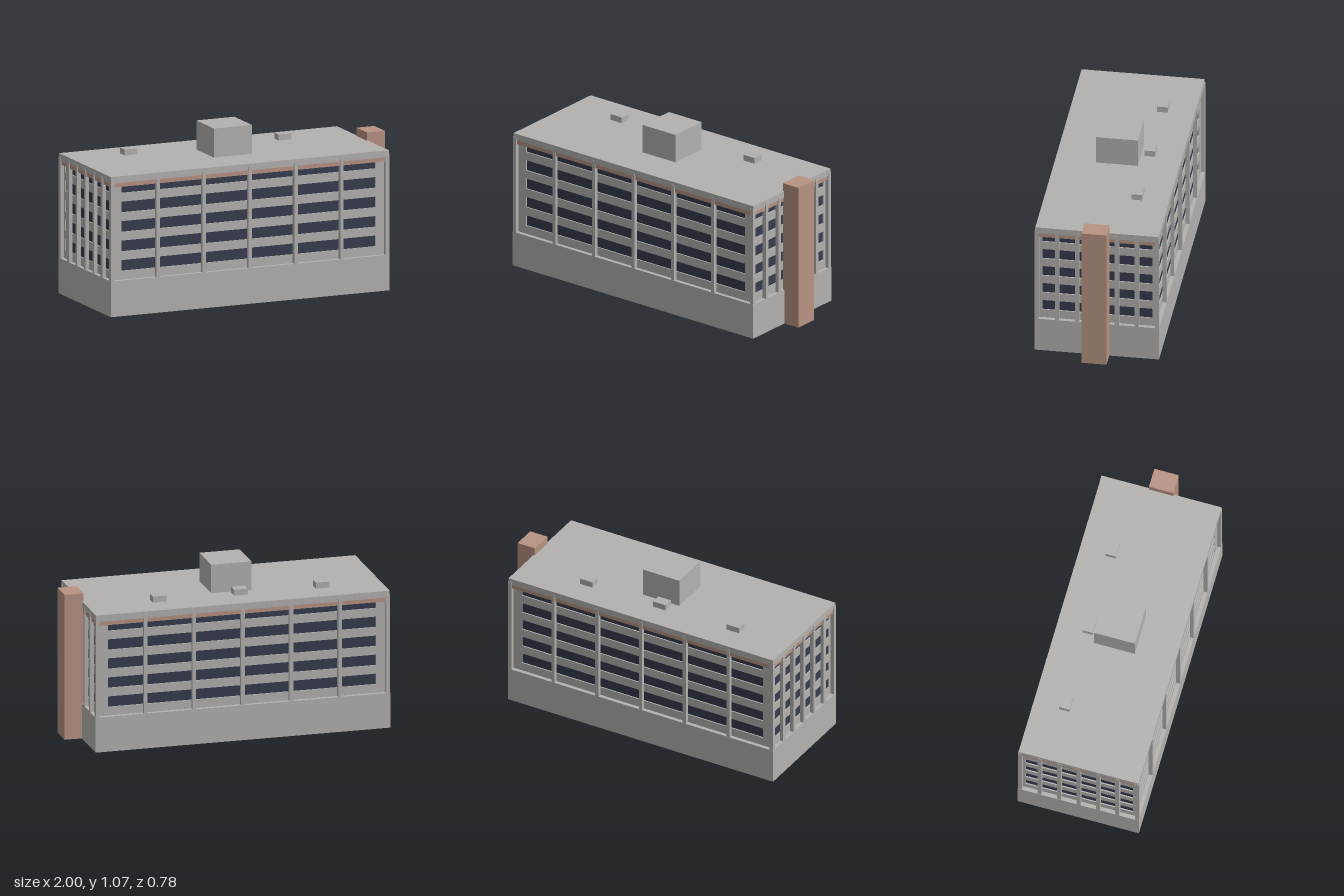
import * as THREE from 'three';

const material = (name, color) => {
  const m = new THREE.MeshStandardMaterial({ color });
  m.name = name;
  return m;
};

export function createModel() {
  const concrete = material('concrete', 0xb3b2af);
  const brick = material('brick', 0xb79382);
  const glass = material('glass', 0x363b4d);

  const CX = -0.055;              // centre of the main block
  const HX = 0.945, HZ = 0.388;   // half length and half depth
  const BASE = 0.225, EAVE = 0.862, ROOF = 0.883;
  const RECESS = 0.025, REVEAL = 0.008;

  const model = new THREE.Group();
  model.name = 'officeBlock';

  // Box given by its limits on each axis
  const box = (parent, name, mat, x0, x1, y0, y1, z0, z1) => {
    const mesh = new THREE.Mesh(new THREE.BoxGeometry(x1 - x0, y1 - y0, z1 - z0), mat);
    mesh.position.set((x0 + x1) / 2, (y0 + y1) / 2, (z0 + z1) / 2);
    mesh.name = name;
    parent.add(mesh);
    return mesh;
  };

  // Solid base, glazed core and roof slab
  box(model, 'base', concrete, CX - HX, CX + HX, 0, BASE, -HZ, HZ);
  const inset = RECESS + REVEAL;
  box(model, 'glazing', glass, CX - HX + inset, CX + HX - inset, BASE, EAVE, -HZ + inset, HZ - inset);
  box(model, 'roofSlab', concrete, CX - HX + 0.003, CX + HX - 0.003, EAVE, ROOF, -HZ + 0.004, HZ - 0.004);

  // Rectangle outline used for walls and window holes
  const rect = (T, x0, x1, y0, y1) => {
    const p = new T();
    p.moveTo(x0, y0);
    p.lineTo(x1, y0);
    p.lineTo(x1, y1);
    p.lineTo(x0, y1);
    p.closePath();
    return p;
  };

  // One facade facing +z: pierced wall, pillars, brick band and lintel
  const facade = (name, half, dist, pitch, pillar, windowHalf) => {
    const g = new THREE.Group();
    g.name = name;
    const wallHalf = half - RECESS;
    const shape = rect(THREE.Shape, -wallHalf, wallHalf, BASE, EAVE);
    for (let i = 0; i < 5; i++) {
      const y = 0.28 + i * 0.1228;
      shape.holes.push(rect(THREE.Path, -windowHalf, windowHalf, y, y + 0.068));
    }
    const wall = new THREE.Mesh(
      new THREE.ExtrudeGeometry(shape, { depth: REVEAL, bevelEnabled: false }), concrete);
    wall.name = 'piercedWall';
    wall.position.z = dist - RECESS - REVEAL;
    g.add(wall);
    for (let k = -2; k <= 2; k++) {
      box(g, 'pillar', concrete, k * pitch - pillar / 2, k * pitch + pillar / 2,
        BASE, EAVE, dist - RECESS, dist - 0.001);
    }
    box(g, 'brickBand', brick, -wallHalf, wallHalf, 0.814, 0.841, dist - RECESS, dist - 0.008);
    box(g, 'lintel', concrete, -wallHalf, wallHalf, 0.841, EAVE, dist - RECESS, dist - 0.004);
    model.add(g);
    return g;
  };

  for (const [name, turn] of [['frontFacade', 0], ['backFacade', Math.PI]]) {
    const g = facade(name, HX, HZ, 0.3115, 0.0235, 0.86);
    g.position.x = CX;
    g.rotation.y = turn;
  }
  for (const [name, s] of [['leftFacade', 1], ['rightFacade', -1]]) {
    const g = facade(name, HZ, HX, 0.1245, 0.0255, 0.344);
    g.position.x = CX;
    g.rotation.y = s * Math.PI / 2;
  }

  // Corner pillars
  for (const sx of [-1, 1]) for (const sz of [-1, 1]) {
    const x = CX + sx * (HX - 0.0135), z = sz * (HZ - 0.0135);
    box(model, 'cornerPillar', concrete, x - 0.0125, x + 0.0125, BASE, EAVE, z - 0.0125, z + 0.0125);
  }

  // Brick stair tower on the end wall
  box(model, 'stairTower', brick, 0.878, 1, 0, 0.935, -0.078, 0.078);

  // Rooftop plant room and vents
  box(model, 'plantRoom', concrete, -0.183, 0.075, ROOF, 1.066, -0.131, 0.131);
  for (const x of [-0.615, -0.091, 0.43]) {
    box(model, 'roofVent', concrete, x - 0.044, x + 0.044, ROOF, 0.921, -0.219, -0.153);
  }

  return model;
}
